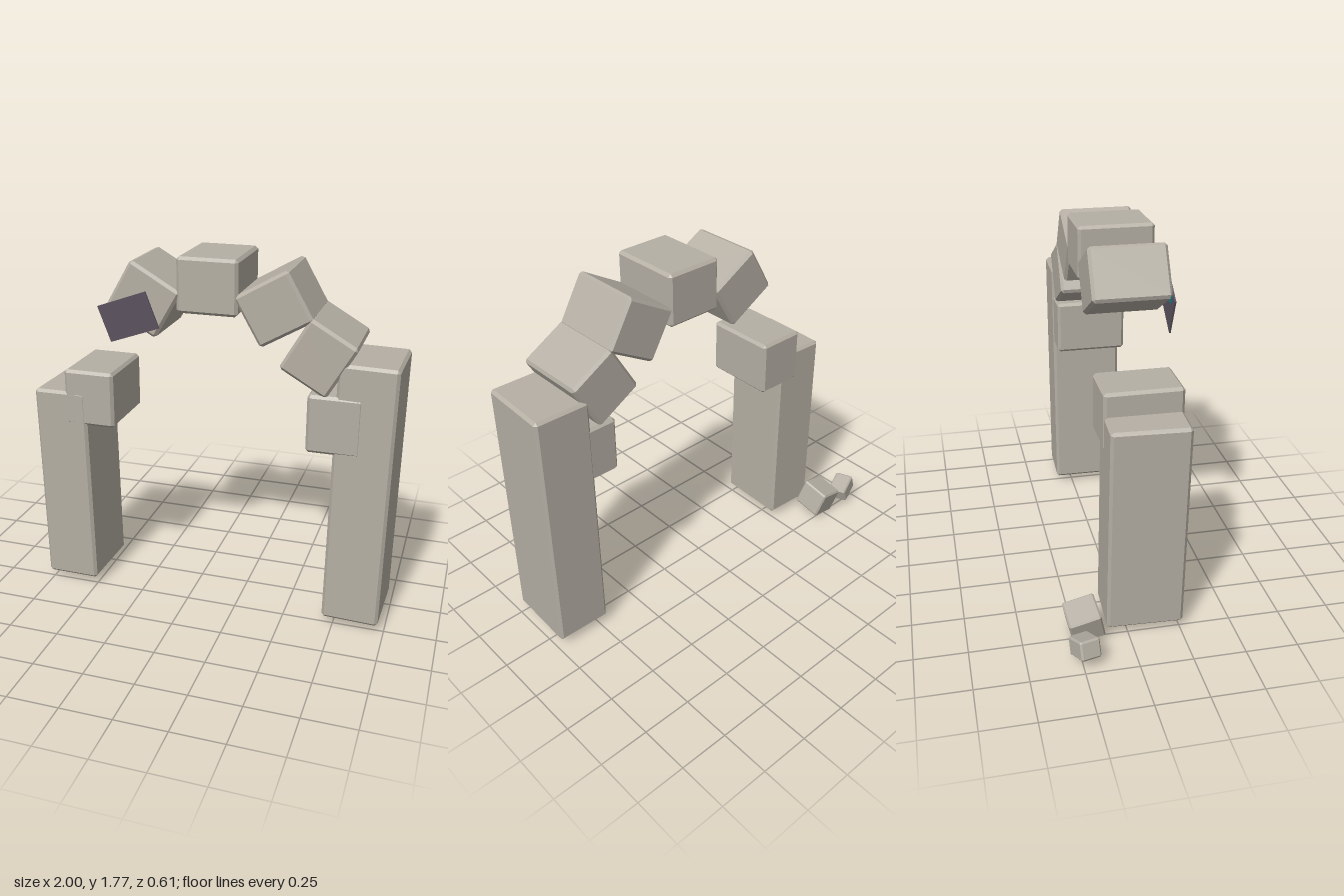
import * as THREE from 'three';
import { ConvexGeometry } from 'three/addons/geometries/ConvexGeometry.js';

const stone = new THREE.MeshStandardMaterial({ color: 0xb5afa4, flatShading: true });
const slate = new THREE.MeshStandardMaterial({ color: 0x5c5460, flatShading: true });
const teal = new THREE.MeshStandardMaterial({ color: 0x1f8a92, flatShading: true });

// Box with every edge cut at 45 degrees
function chamferBox(w, h, d, c) {
  const points = [];
  for (const x of [-1, 1]) for (const y of [-1, 1]) for (const z of [-1, 1]) {
    for (let full = 0; full < 3; full++) {
      const [ix, iy, iz] = [0, 1, 2].map((i) => (i === full ? 0 : c));
      points.push(new THREE.Vector3(x * (w / 2 - ix), y * (h / 2 - iy), z * (d / 2 - iz)));
    }
  }
  return new ConvexGeometry(points);
}

export function createModel() {
  const model = new THREE.Group();

  function add(name, geometry, material, position, rotation = [0, 0, 0]) {
    const mesh = new THREE.Mesh(geometry, material);
    mesh.name = name;
    mesh.position.set(...position);
    mesh.rotation.set(...rotation);
    model.add(mesh);
  }
  const block = (name, size, position, rotation, c = 0.014) =>
    add(name, chamferBox(...size, c), stone, position, rotation);

  // Slightly leaning pillars of unequal height
  block('rightPillar', [0.275, 1.03, 0.365], [-0.637, 0.553, 0.09], [0.008, -0.035, 0.016]);
  block('leftPillar', [0.275, 1.295, 0.37], [0.847, 0.687, 0.093], [-0.006, -0.03, -0.013]);

  // Springer blocks at the inner top of each pillar
  block('rightSpringer', [0.255, 0.28, 0.37], [-0.494, 1.042, 0.093]);
  block('leftSpringer', [0.255, 0.28, 0.37], [0.708, 1.042, 0.093]);

  // Arch stones, with one missing on the right side
  block('keystone', [0.29, 0.26, 0.37], [0.105, 1.64, 0.092]);
  block('leftUpperArchStone', [0.28, 0.258, 0.37], [0.413, 1.56, 0.092], [0, 0, Math.PI / 6]);
  block('rightUpperArchStone', [0.28, 0.258, 0.37], [-0.203, 1.56, 0.092], [0, 0, -Math.PI / 6]);
  block('leftLowerArchStone', [0.255, 0.28, 0.37], [0.623, 1.352, 0.092], [0, 0, -Math.PI / 6]);

  // Hanging plate with a small inlay on its back
  add('plate', new THREE.BoxGeometry(0.268, 0.18, 0.008), slate,
    [-0.272, 1.475, 0.284], [0.05, -0.09, 0.36]);
  add('plateInlay', new THREE.BoxGeometry(0.05, 0.04, 0.012), teal,
    [-0.348, 1.512, 0.272], [0.05, -0.09, 0.36]);

  // Fallen rubble behind the right pillar
  block('largeRubble', [0.15, 0.145, 0.155], [-0.743, 0.102, -0.21], [-0.22, 0.03, 0.27], 0.008);
  block('smallRubble', [0.125, 0.09, 0.1], [-0.92, 0.09, -0.238], [0.05, 0.3, -0.36], 0.008);

  return model;
}
